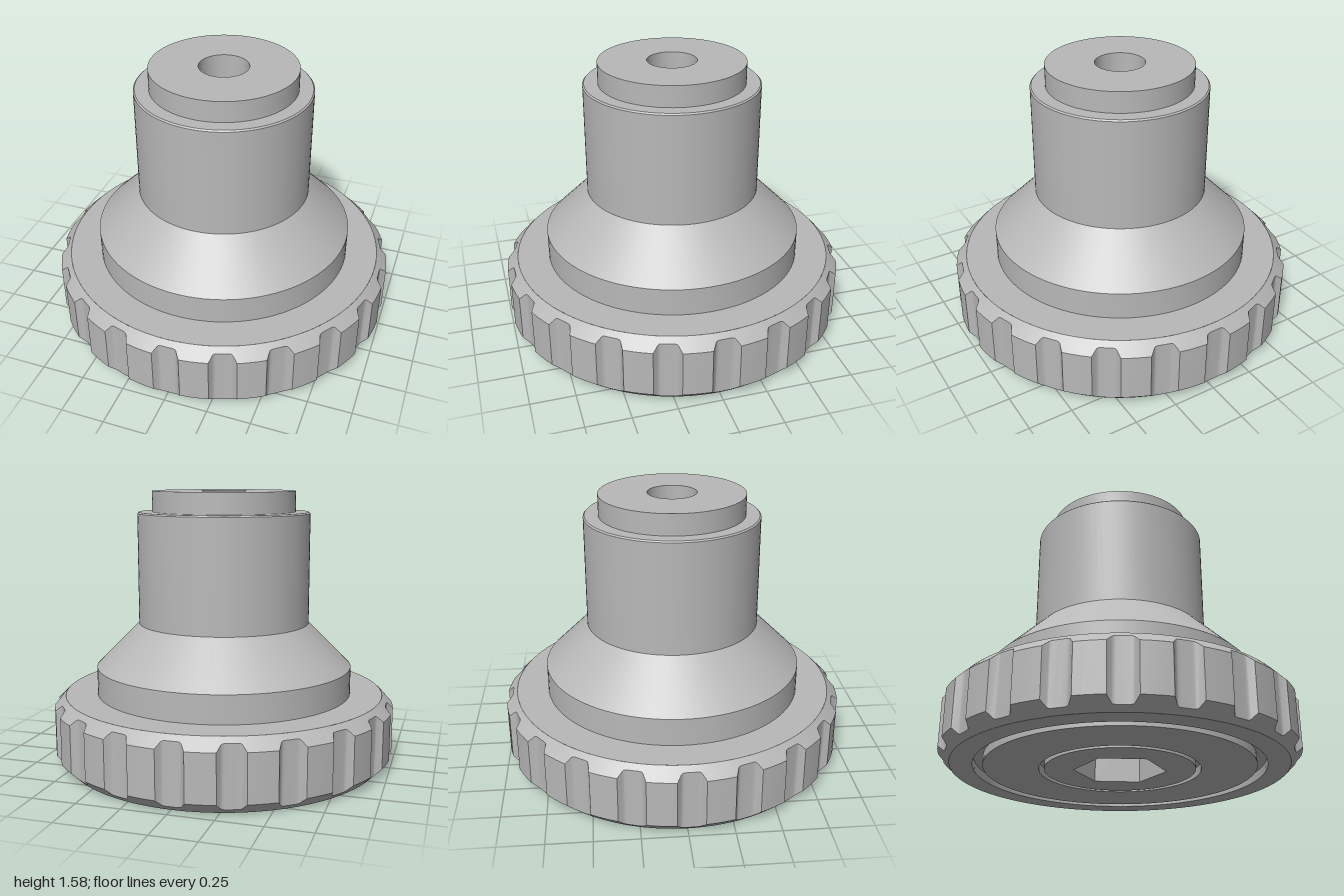
import * as THREE from 'three';
import { toCreasedNormals } from 'three/addons/utils/BufferGeometryUtils.js';

const SEGMENTS = 96;
const HEX_RADIUS = 0.258, HEX_DEPTH = 0.4, HEX_TURN = THREE.MathUtils.degToRad(2);
const BORE_RADIUS = 0.14;

// Revolved part with sharp edges kept; profile is a list of [radius, y]
function turned(profile) {
  const points = profile.map(([r, y]) => new THREE.Vector2(r, y));
  return toCreasedNormals(new THREE.LatheGeometry(points, SEGMENTS), 0.5);
}

function ringPoints(radius, count, start = 0) {
  return Array.from({ length: count }, (_, i) => {
    const a = start + (i / count) * Math.PI * 2;
    return new THREE.Vector2(Math.cos(a) * radius, Math.sin(a) * radius);
  });
}

// Flat plate with a hole, facing down at height y
function downFacingPlate(outline, hole, y) {
  const shape = new THREE.Shape(outline);
  shape.holes.push(new THREE.Path(hole));
  return new THREE.ShapeGeometry(shape).rotateX(Math.PI / 2).translate(0, y, 0);
}

// Grip rim: tooth outline swept up, cut by 45 degree chamfers at both ends
function gripRim() {
  const teeth = 20, height = 0.4, edge = 0.935, offset = 9.9;
  const tooth = [
    [-9, 0.963], [-7, 0.963], [-6.2, 0.965], [-5.8, 0.97], [-4.6, 1], [-1.6, 1],
    [1.6, 1], [4.6, 1], [5.8, 0.97], [6.2, 0.965], [7, 0.963],
  ];
  const columns = [];
  for (let t = 0; t < teeth; t++) {
    for (const [deg, r] of tooth) {
      const a = THREE.MathUtils.degToRad(offset + (t * 360) / teeth + deg);
      const c = r - edge;
      columns.push([[edge, 0], [r, c], [r, height - c], [edge, height]]
        .map(([q, y]) => [Math.sin(a) * q, y, Math.cos(a) * q]));
    }
  }
  const positions = [];
  columns.forEach((p, i) => {
    const q = columns[(i + 1) % columns.length];
    for (let k = 0; k < 3; k++) {
      positions.push(...p[k], ...q[k], ...q[k + 1], ...p[k], ...q[k + 1], ...p[k + 1]);
    }
  });
  const geometry = new THREE.BufferGeometry();
  geometry.setAttribute('position', new THREE.Float32BufferAttribute(positions, 3));
  return toCreasedNormals(geometry, 0.5);
}

export function createModel() {
  const group = new THREE.Group();
  const grey = new THREE.MeshStandardMaterial({ color: 0xb8b8b8 });
  grey.name = 'grey';
  const add = (name, geometry) => {
    const mesh = new THREE.Mesh(geometry, grey);
    mesh.name = name;
    group.add(mesh);
  };

  add('gripRim', gripRim());

  // Wheel top, flared base, neck and end collar
  add('body', turned([
    [0.935, 0.4], [0.75, 0.4], [0.75, 0.56], [0.5, 0.81], [0.5, 1.447],
    [0.492, 1.455], [0.415, 1.455], [0.415, 1.575], [BORE_RADIUS, 1.575],
  ]));

  // Through bore
  add('bore', turned([[BORE_RADIUS, 1.575], [BORE_RADIUS, HEX_DEPTH]]));

  // Underside with two ring grooves
  add('underside', turned([
    [0.42, 0], [0.42, 0.05], [0.45, 0.05], [0.45, 0],
    [0.755, 0], [0.755, 0.05], [0.81, 0.05], [0.81, 0], [0.935, 0],
  ]));

  // Hexagonal socket: surrounding face, walls turned inward, ceiling
  const hex = ringPoints(HEX_RADIUS, 6, Math.PI / 6 + HEX_TURN);
  add('socketFace', downFacingPlate(ringPoints(0.42, SEGMENTS), hex, 0));
  const walls = new THREE.CylinderGeometry(HEX_RADIUS, HEX_RADIUS, HEX_DEPTH, 6, 1, true)
    .scale(-1, 1, 1).rotateY(-HEX_TURN).translate(0, HEX_DEPTH / 2, 0).toNonIndexed();
  walls.computeVertexNormals();
  add('socketWalls', walls);
  add('socketCeiling', downFacingPlate(hex, ringPoints(BORE_RADIUS, SEGMENTS), HEX_DEPTH));

  return group;
}
